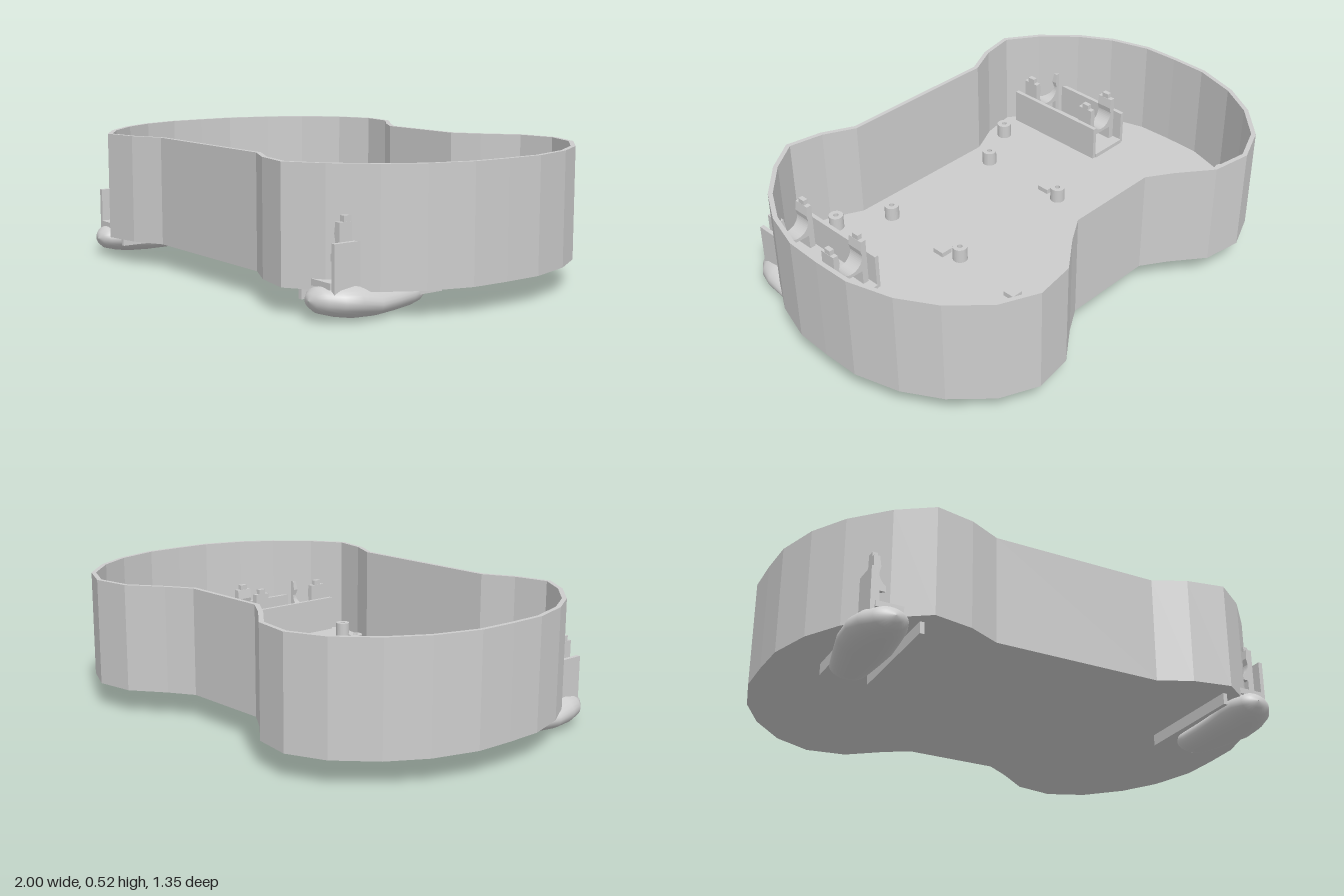
import * as THREE from 'three';

const shellGrey = new THREE.MeshStandardMaterial({ color: 0xcccccc });
shellGrey.name = 'shellGrey';

const FLOOR = 0.1, FLOOR_TOP = 0.12, RIM = 0.525, WALL = 0.018;

export function createModel() {
  const model = new THREE.Group();
  model.name = 'controllerShell';

  function add(name, geometry, x = 0, y = 0, z = 0) {
    const mesh = new THREE.Mesh(geometry, shellGrey);
    mesh.name = name;
    mesh.position.set(x, y, z);
    model.add(mesh);
  }
  // box given by its limits
  function box(name, x0, x1, y0, y1, z0, z1) {
    add(name, new THREE.BoxGeometry(Math.abs(x1 - x0), y1 - y0, z1 - z0),
      (x0 + x1) / 2, (y0 + y1) / 2, (z0 + z1) / 2);
  }
  // plan shape (x, -z) raised upwards
  function raise(shape, height) {
    return new THREE.ExtrudeGeometry(shape, { depth: height, bevelEnabled: false, curveSegments: 16 })
      .rotateX(-Math.PI / 2);
  }
  function tube(name, x, z, outer, inner, height) {
    const shape = new THREE.Shape().absarc(0, 0, outer, 0, Math.PI * 2);
    shape.holes.push(new THREE.Path().absarc(0, 0, inner, 0, Math.PI * 2, true));
    add(name, raise(shape, height), x, FLOOR_TOP, z);
  }

  // Outline of one half in x, z, from the back waist to the front waist
  const half = [
    [0.19, -0.487], [0.29, -0.55], [0.42, -0.65], [0.58, -0.675], [0.73, -0.61],
    [0.86, -0.48], [0.945, -0.335], [0.997, -0.155], [1, 0], [0.995, 0.15], [0.945, 0.315],
    [0.865, 0.45], [0.74, 0.582], [0.61, 0.67], [0.46, 0.642], [0.335, 0.582],
  ];
  const outline = [
    ...half.map(([x, z]) => new THREE.Vector2(x, -z)),
    ...half.slice().reverse().map(([x, z]) => new THREE.Vector2(-x, -z)),
  ];
  const n = outline.length;
  // inner outline: each corner moved inwards along its mitre
  const inset = outline.map((p, i) => {
    const a = p.clone().sub(outline[(i + n - 1) % n]).normalize();
    const b = outline[(i + 1) % n].clone().sub(p).normalize();
    const m = new THREE.Vector2(a.y + b.y, -a.x - b.x).normalize();
    const cos = m.x * a.y - m.y * a.x;
    return p.clone().addScaledVector(m, WALL / cos);
  });

  // Side wall (the hole runs opposite to the outline) and floor
  const wall = new THREE.Shape(outline);
  wall.holes.push(new THREE.Path(inset.slice().reverse()));
  add('sideWall', raise(wall, RIM - FLOOR), 0, FLOOR, 0);
  add('floor', raise(new THREE.Shape(inset), FLOOR_TOP - FLOOR), 0, FLOOR, 0);

  // Cradle: a bowl on two legs with raised arms, pushed along z
  const cradle = new THREE.Shape();
  cradle.moveTo(-0.078, 0.13);
  cradle.lineTo(-0.052, 0.13);
  cradle.lineTo(-0.052, 0.2);
  cradle.lineTo(0.052, 0.2);
  cradle.lineTo(0.052, 0.13);
  cradle.lineTo(0.078, 0.13);
  cradle.lineTo(0.078, 0.335);
  cradle.lineTo(0.056, 0.335);
  cradle.lineTo(0.05, 0.295);
  cradle.lineTo(0.056, 0.27);
  cradle.absarc(0, 0.27, 0.056, 0, Math.PI, true);
  cradle.lineTo(-0.05, 0.295);
  cradle.lineTo(-0.056, 0.335);
  cradle.lineTo(-0.078, 0.335);
  cradle.closePath();
  const cradleGeometry = new THREE.ExtrudeGeometry(cradle, { depth: 0.07, bevelEnabled: false, curveSegments: 12 });

  // Rounded grip foot: ellipses along z as [z, centre x, centre y, radius x, radius y]
  const sections = [
    [0.655, 0.745, 0.075, 0.002, 0.002], [0.647, 0.747, 0.075, 0.036, 0.026],
    [0.625, 0.752, 0.074, 0.066, 0.043], [0.58, 0.762, 0.072, 0.092, 0.054],
    [0.52, 0.768, 0.069, 0.104, 0.062], [0.44, 0.767, 0.056, 0.106, 0.052],
    [0.35, 0.759, 0.055, 0.092, 0.05], [0.26, 0.75, 0.057, 0.077, 0.048],
    [0.22, 0.746, 0.06, 0.07, 0.043], [0.195, 0.745, 0.064, 0.054, 0.033],
    [0.182, 0.745, 0.067, 0.032, 0.02], [0.177, 0.745, 0.068, 0.002, 0.002],
  ];
  function footGeometry(side) {
    const around = 28, positions = [], index = [];
    sections.forEach(([z, cx, cy, rx, ry], i) => {
      for (let j = 0; j < around; j++) {
        const t = (j / around) * Math.PI * 2;
        positions.push(side * cx + rx * Math.cos(t), cy + ry * Math.sin(t), z);
        if (i === 0) continue;
        const k = (j + 1) % around, p = (i - 1) * around, q = i * around;
        index.push(p + j, q + j, p + k, p + k, q + j, q + k);
      }
    });
    const geometry = new THREE.BufferGeometry();
    geometry.setAttribute('position', new THREE.Float32BufferAttribute(positions, 3));
    geometry.setIndex(index);
    geometry.computeVertexNormals();
    return geometry;
  }

  for (const s of [1, -1]) {
    // Floor ring, screw posts and locating pads
    tube('floorRing', s * 0.695, -0.455, 0.107, 0.086, 0.03);
    for (const [x, z] of [[0.285, 0.04], [0.285, 0.445], [0.882, -0.37], [0.882, 0.3], [0.49, 0.555]]) {
      tube('screwPost', s * x, z, 0.03, 0.011, 0.06);
    }
    for (const z of [-0.27, 0.12]) {
      box('locatingPad', s * 0.28, s * 0.33, FLOOR_TOP, 0.14, z - 0.026, z + 0.026);
    }

    // Motor bracket: two long plates through the floor, a tray and two cradles
    box('innerBracketPlate', s * 0.62, s * 0.637, 0.055, 0.27, 0.135, 0.605);
    box('outerBracketPlate', s * 0.803, s * 0.82, 0.055, 0.27, 0.135, 0.605);
    box('bracketTray', s * 0.637, s * 0.803, 0.115, 0.138, 0.13, 0.61);
    for (const z of [0.21, 0.535]) {
      add('motorCradle', cradleGeometry, s * 0.722, 0, z - 0.035);
      for (const d of [-0.067, 0.067]) {
        const x = s * 0.722 + d;
        box('cradleTip', x - 0.01, x + 0.01, 0.33, 0.356, z - 0.016, z + 0.016);
      }
    }

    add('gripFoot', footGeometry(s));
  }
  return model;
}
